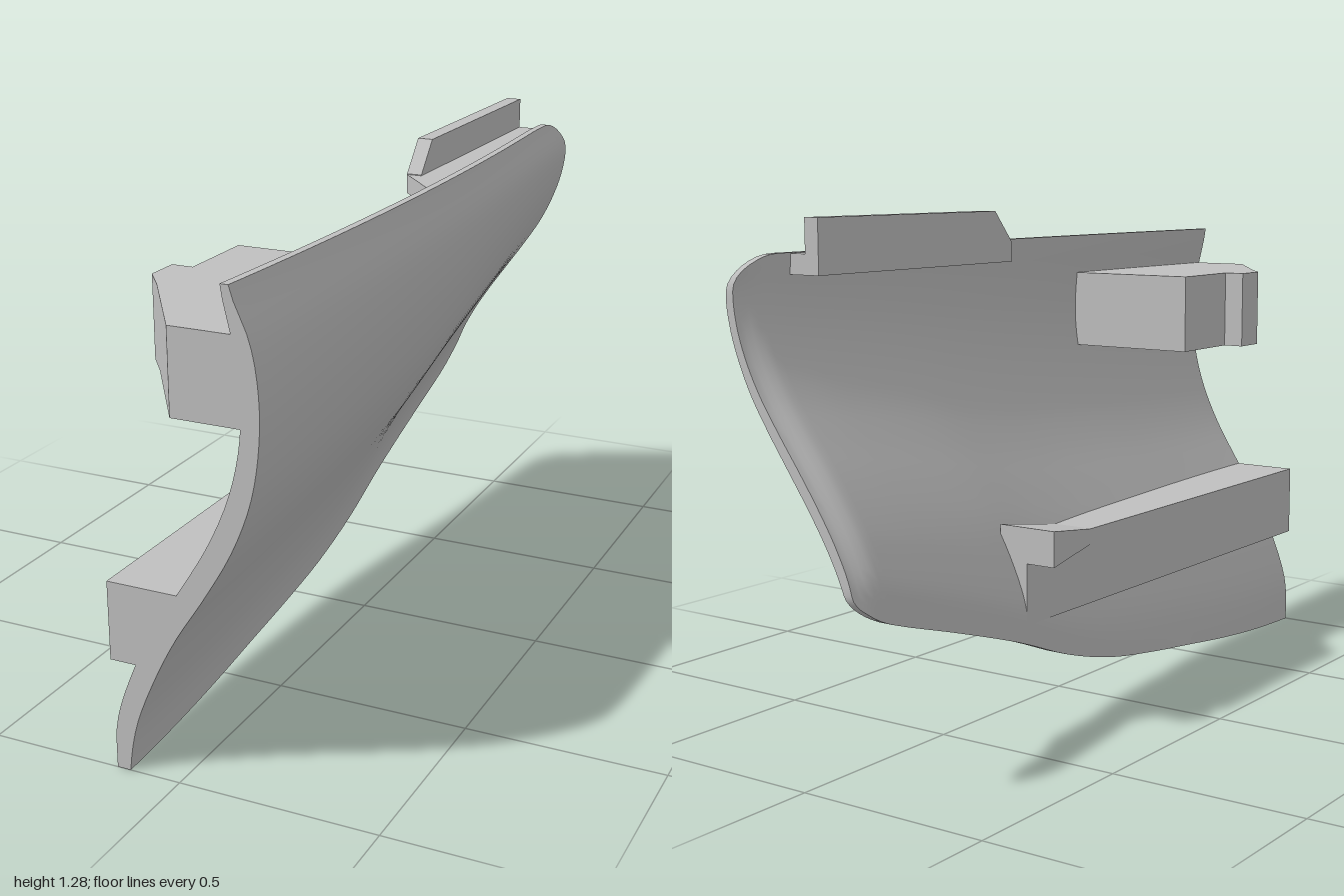
import * as THREE from 'three';
import { toCreasedNormals } from 'three/addons/utils/BufferGeometryUtils.js';

// Interpolates evenly spaced values smoothly
function smoothTable(values) {
  const curve = new THREE.SplineCurve(values.map((v, i) => new THREE.Vector2(i, v)));
  return t => curve.getPoint(THREE.MathUtils.clamp(t, 0, 1)).y;
}

// Tables running from bottom to top of the panel
const frontX = smoothTable([-.13, -.108, -.06, .002, .08, .15, .198, .221, .225, .207, .16]);
const rearX = smoothTable([-.145, -.12, -.08, -.03, .025, .08, .13, .167, .192, .2, .175]);
const wall = smoothTable([.035, .052, .06, .064, .066, .062, .055, .047, .044, .042, .02]);
// Lower edge height from z = 1 to z = -1
const lowerEdge = smoothTable([.003, .012, .03, .055, .08, .112, .165, .24, .305, .365, .42]);

// Outer and inner x of the panel at a height and depth
function panelX(y, z) {
  const bottom = lowerEdge((1 - z) / 2);
  const t = THREE.MathUtils.clamp((y - bottom) / (1.2 - bottom), 0, 1);
  const bulge = .03 * t * Math.max(0, 1 - ((z - .1) / .9) ** 2);
  const outer = THREE.MathUtils.lerp(frontX(t), rearX(t), (1 - z) / 2) + bulge;
  const taper = 1 - .5 * THREE.MathUtils.smoothstep(-z, .93, 1);
  return { outer, inner: Math.max(-.17, outer - wall(t) * taper) };
}

// Skins closed counter-clockwise [x, y] loops, given from front to back, with end caps
function loft(sections, depths, crease) {
  const n = sections[0].length, last = sections.length - 1;
  const pos = [], idx = [];
  sections.forEach((s, i) => s.forEach(([x, y]) => pos.push(x, y, depths[i])));
  for (let i = 0; i < last; i++) {
    for (let j = 0; j < n; j++) {
      const a = i * n + j, b = i * n + (j + 1) % n;
      idx.push(a, a + n, b, a + n, b + n, b);
    }
  }
  const cap = k => THREE.ShapeUtils.triangulateShape(sections[k].map(p => new THREE.Vector2(...p)), []);
  cap(0).forEach(([a, b, c]) => idx.push(a, b, c));
  cap(last).forEach(([a, b, c]) => idx.push(last * n + a, last * n + c, last * n + b));
  const g = new THREE.BufferGeometry();
  g.setAttribute('position', new THREE.Float32BufferAttribute(pos, 3));
  g.setIndex(idx);
  return toCreasedNormals(g, crease);
}

// Upright prism from an [x, z] outline
function prism(outline, y0, y1) {
  const shape = new THREE.Shape(outline.map(([x, z]) => new THREE.Vector2(x, -z)));
  return new THREE.ExtrudeGeometry(shape, { depth: y1 - y0, bevelEnabled: false })
    .rotateX(-Math.PI / 2).translate(0, y0, 0);
}

export function createModel() {
  const model = new THREE.Group();
  const grey = new THREE.MeshStandardMaterial({ color: 0xbfbfbf });
  grey.name = 'light grey';
  const add = (name, geometry) => {
    const mesh = new THREE.Mesh(geometry, grey);
    mesh.name = name;
    model.add(mesh);
  };

  // Curved panel with rounded rear corners
  const depths = [];
  for (let i = 0; i <= 36; i++) depths.push(1 - i * 1.88 / 36);
  for (let i = 1; i <= 8; i++) depths.push(-.88 - .12 * Math.sin(i / 8 * Math.PI / 2));
  const rows = 36;
  const sections = depths.map(z => {
    const d = Math.max(0, (-z - .88) / .12);
    const corner = .08 * (1 - Math.sqrt(Math.max(0, 1 - d * d)));
    const y0 = lowerEdge((1 - z) / 2) + corner * .7, y1 = 1.2 - corner;
    const outer = [], inner = [];
    for (let j = 0; j <= rows; j++) {
      const y = y0 + (y1 - y0) * j / rows;
      const p = panelX(y, z);
      outer.push([p.outer, y]);
      inner.unshift([p.inner, y]);
    }
    return [...outer, ...inner];
  });
  add('curvedPanel', loft(sections, depths, .7));

  // Lower shelf, its far side buried in the panel wall
  const shelfDepths = [];
  for (let i = 0; i <= 12; i++) shelfDepths.push(1 - i * 1.38 / 12);
  const shelfSections = shelfDepths.map(z => {
    const s = [[-.17, .28]];
    for (let j = 0; j <= 6; j++) {
      const y = .28 + .195 * j / 6, p = panelX(y, z);
      s.push([Math.max(-.165, (p.inner + p.outer) / 2), y]);
    }
    s.push([-.17, .475]);
    return s;
  });
  add('lowerShelf', loft(shelfSections, shelfDepths, .5));

  // Flared tab at the rear of the shelf
  add('shelfTab', loft([
    [[-.17, .435], [-.06, .435], [-.06, .475], [-.17, .475]],
    [[-.25, .435], [-.09, .435], [-.09, .525], [-.25, .525]],
  ], [-.1, -.38], .3));

  // Upper block with a slanted front corner and a small hook
  add('upperBlock', prism([[.185, 1], [.01, 1], [-.17, .74], [-.17, .36], [.2, .36]], .89, 1.095));
  add('blockHook', prism([[-.17, .74], [-.225, .67], [-.225, .58], [-.17, .58]], .89, 1.095));

  // Top rail and its upright lip
  add('topRail', prism([[.175, .01], [.07, -.11], [.07, -.84], [.17, -.84]], 1.15, 1.198));
  const lip = new THREE.Shape([[.84, 1.15], [.84, 1.28], [.18, 1.28], [.11, 1.2], [.11, 1.15]]
    .map(p => new THREE.Vector2(...p)));
  add('railLip', new THREE.ExtrudeGeometry(lip, { depth: .04, bevelEnabled: false })
    .rotateY(Math.PI / 2).translate(.07, 0, 0));

  return model;
}
